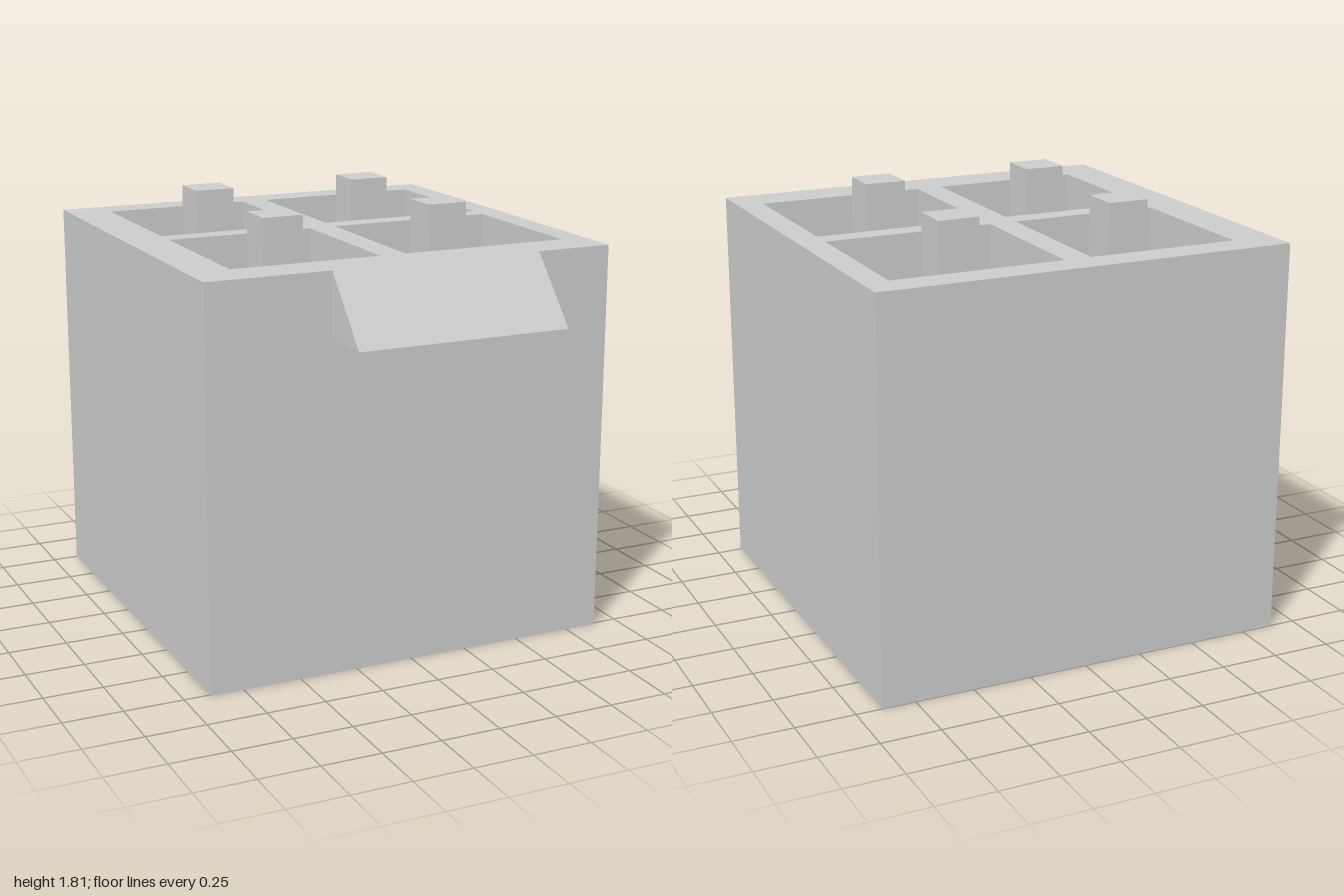
import * as THREE from 'three';

const material = new THREE.MeshStandardMaterial({ color: 0xcccccc, flatShading: true, side: THREE.DoubleSide });
const TOP = 1.67, FLOOR = 0.2;
// Spans of the four cells and their pins
const cellX = [[-0.71, -0.065], [0.05, 0.78]];
const cellZ = [[-0.865, -0.195], [-0.1, 0.575]];
const pinX = [[-0.46, -0.285], [0.29, 0.465]];
const pinZ = [[-0.605, -0.435], [0.145, 0.315]];

// Thin-walled box between limits, leaving out the listed faces (2 = top, 3 = bottom)
function shell(name, [x0, x1], [y0, y1], [z0, z1], open) {
  const geo = new THREE.BoxGeometry(x1 - x0, y1 - y0, z1 - z0);
  const index = Array.from(geo.index.array);
  geo.setIndex(index.filter((_, i) => !open.includes(Math.floor(i / 6))));
  geo.clearGroups();
  geo.translate((x0 + x1) / 2, (y0 + y1) / 2, (z0 + z1) / 2);
  const mesh = new THREE.Mesh(geo, material);
  mesh.name = name;
  return mesh;
}

// Rectangle in plan, with z mapped to -y of the shape
function rectangle(target, [x0, x1], [z0, z1]) {
  target.moveTo(x0, -z0);
  target.lineTo(x1, -z0);
  target.lineTo(x1, -z1);
  target.lineTo(x0, -z1);
  target.closePath();
  return target;
}

export function createModel() {
  const group = new THREE.Group();
  group.name = 'connectorHousing';

  // Outer walls, open below
  group.add(shell('outerWalls', [-0.89, 0.89], [0, TOP], [-1, 0.76], [2, 3]));

  // Top plate with four openings
  const plate = rectangle(new THREE.Shape(), [-0.89, 0.89], [-1, 0.76]);
  for (const x of cellX) for (const z of cellZ) plate.holes.push(rectangle(new THREE.Path(), x, z));
  const plateGeo = new THREE.ShapeGeometry(plate);
  plateGeo.rotateX(-Math.PI / 2);
  plateGeo.translate(0, TOP, 0);
  const topPlate = new THREE.Mesh(plateGeo, material);
  topPlate.name = 'topPlate';
  group.add(topPlate);

  // Cells hanging from the plate, each with a hollow pin through its floor
  for (let i = 0; i < 2; i++) {
    for (let j = 0; j < 2; j++) {
      group.add(shell('cell', cellX[i], [FLOOR, TOP], cellZ[j], [2]));
      group.add(shell('pin', pinX[i], [0.1, 1.81], pinZ[j], [3]));
    }
  }

  // Wedge-shaped latch on the front
  const wedge = new THREE.Shape([
    new THREE.Vector2(-0.76, 1.4),
    new THREE.Vector2(-0.76, TOP),
    new THREE.Vector2(-1, 1.4),
  ]);
  const wedgeGeo = new THREE.ExtrudeGeometry(wedge, { depth: 0.92, bevelEnabled: false });
  wedgeGeo.rotateY(Math.PI / 2);
  wedgeGeo.translate(-0.36, 0, 0);
  const latch = new THREE.Mesh(wedgeGeo, material);
  latch.name = 'latchWedge';
  group.add(latch);

  return group;
}
